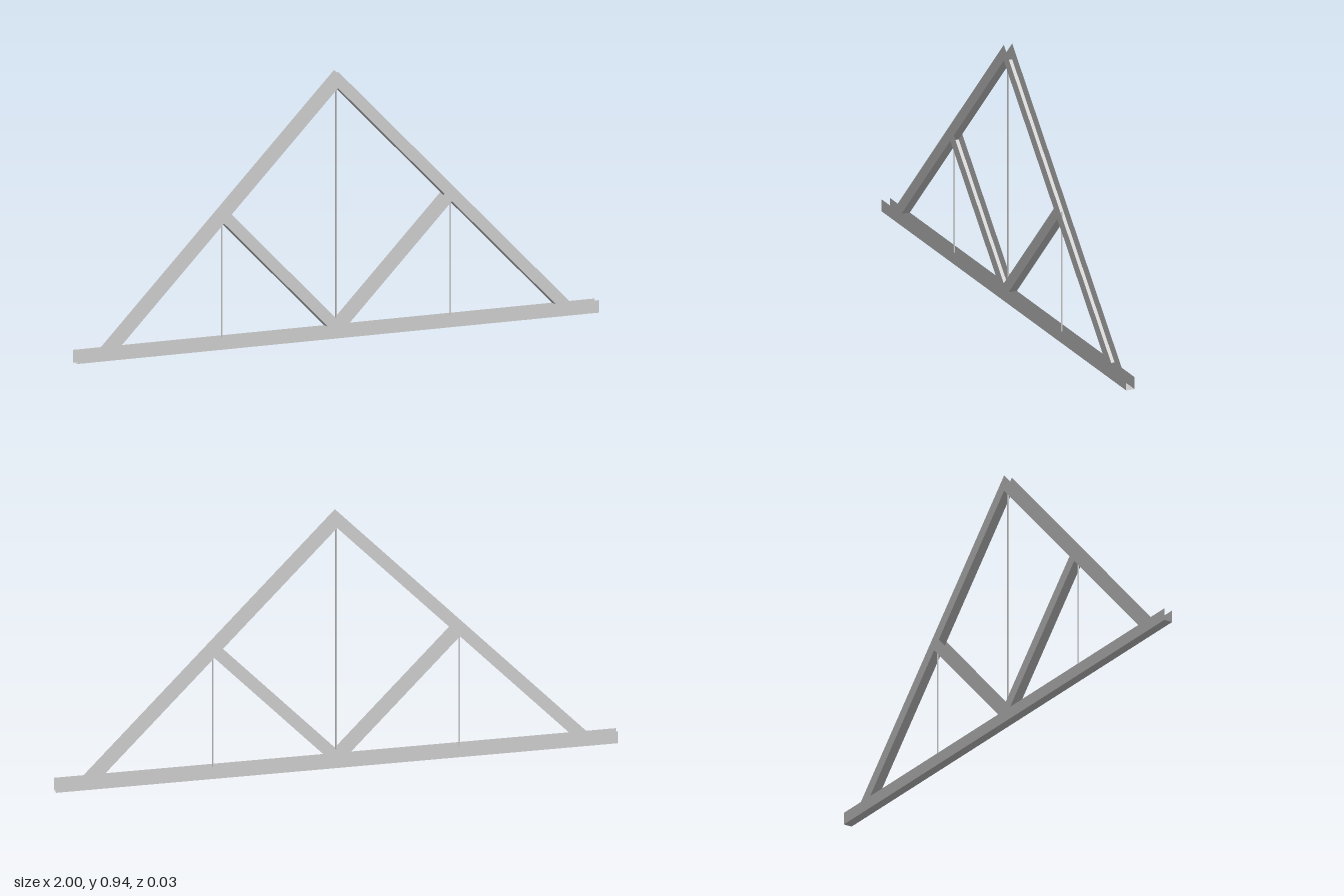
import * as THREE from 'three';
import { mergeGeometries } from 'three/addons/utils/BufferGeometryUtils.js';

const HALF_DEPTH = 0.016;  // half the width of every channel in z
const CHORD_TOP = 0.044;
const ROD_RADIUS = 0.003;

const steel = new THREE.MeshStandardMaterial({ color: 0xcccccc, side: THREE.DoubleSide });

// Thin U-channel: two side flanges with the given outline, joined by a web
// along the first edge of that outline.
function channel(name, outline) {
  const points = outline.map(([x, y]) => new THREE.Vector2(x, y));
  const shape = new THREE.Shape(points);
  const front = new THREE.ShapeGeometry(shape).translate(0, 0, HALF_DEPTH);
  const back = new THREE.ShapeGeometry(shape).rotateY(Math.PI);
  back.scale(-1, 1, 1).translate(0, 0, -HALF_DEPTH);

  const [a, b] = points;
  const web = new THREE.PlaneGeometry(a.distanceTo(b), HALF_DEPTH * 2)
    .rotateX(Math.PI / 2)
    .rotateZ(Math.atan2(b.y - a.y, b.x - a.x))
    .translate((a.x + b.x) / 2, (a.y + b.y) / 2, 0);

  const mesh = new THREE.Mesh(mergeGeometries([front, back, web]), steel);
  mesh.name = name;
  return mesh;
}

// Slender vertical tie rod
function rod(name, x, bottom, top) {
  const geometry = new THREE.CylinderGeometry(ROD_RADIUS, ROD_RADIUS, top - bottom, 12);
  const mesh = new THREE.Mesh(geometry, steel);
  mesh.name = name;
  mesh.position.set(x, (bottom + top) / 2, 0);
  return mesh;
}

export function createModel() {
  const truss = new THREE.Group();
  truss.name = 'roofTruss';

  // Bottom chord, open at the top
  truss.add(channel('bottomChord', [[-1, 0], [1, 0], [1, CHORD_TOP], [-1, CHORD_TOP]]));

  for (const [side, s] of [['left', 1], ['right', -1]]) {
    const mirror = (pts) => pts.map(([x, y]) => [s * x, y]);

    // Rafter, web on the underside, mitred at the ridge
    truss.add(channel(side + 'Rafter', mirror([
      [0.836, CHORD_TOP], [0, 0.88], [0, 0.938], [0.894, CHORD_TOP],
    ])));

    // Diagonal brace from mid chord to mid rafter, web on the underside
    truss.add(channel(side + 'Brace', mirror([
      [0.038, CHORD_TOP], [0.437, 0.443], [0.408, 0.472], [0, 0.064], [0, CHORD_TOP],
    ])));

    // Side tie rod, its tip passing through the rafter web
    truss.add(rod(side + 'TieRod', s * 0.438, 0, 0.468));
  }

  // King rod under the ridge
  truss.add(rod('kingRod', 0, 0, 0.88));

  return truss;
}
